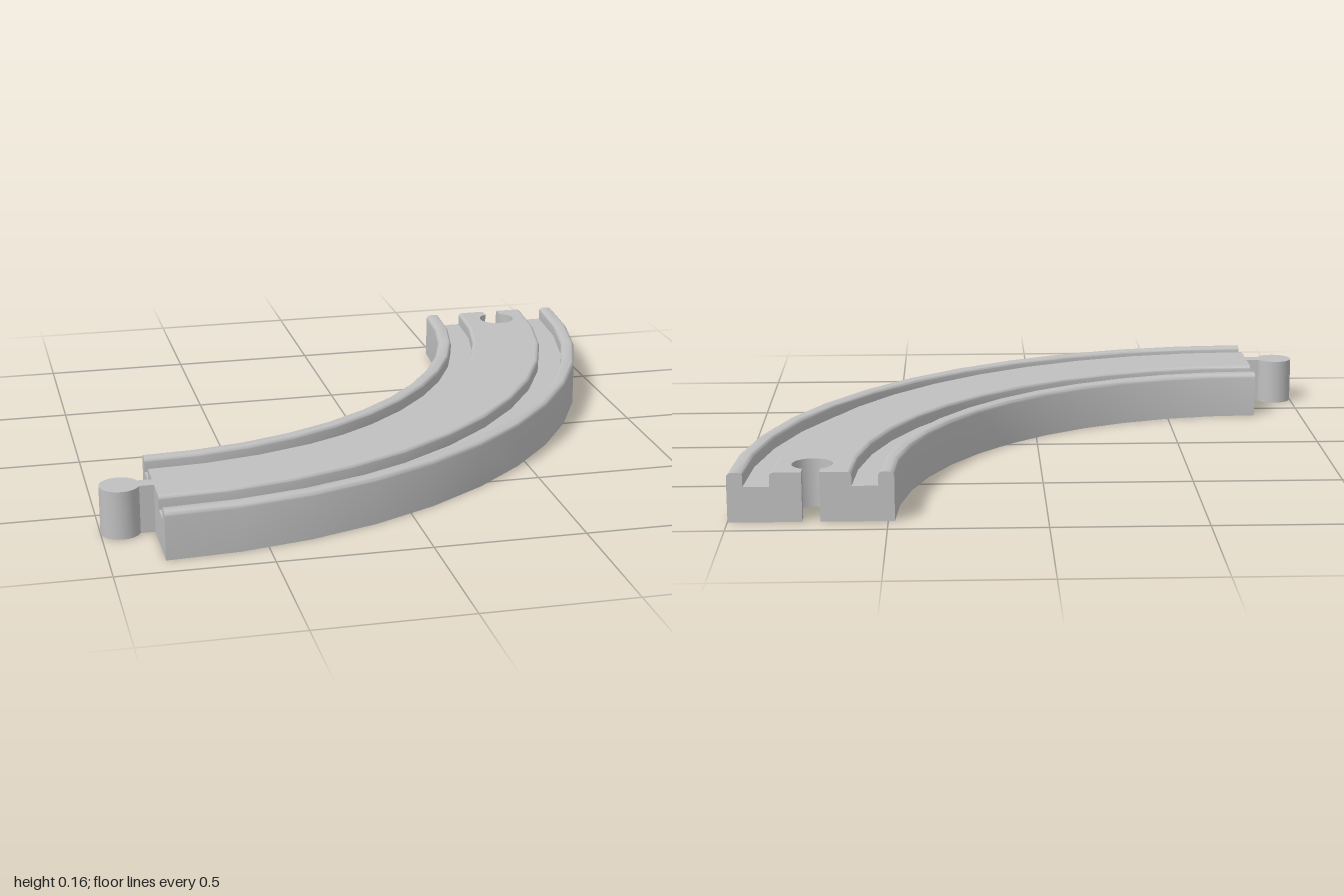
import * as THREE from 'three';
import { toCreasedNormals } from 'three/addons/utils/BufferGeometryUtils.js';

const R = 1.567;        // centreline radius of the curve
const H = 0.16;         // track height
const GROOVE = 0.045;   // groove depth
const STEPS = 12;       // facets along the quarter turn
const CORE = 0.115;     // half width of the flat middle strip

const crease = (geo) => toCreasedNormals(geo, 0.6);

// Points on a circular arc
function arc(cx, cy, r, a0, a1, n) {
  return Array.from({ length: n + 1 }, (_, i) => {
    const a = a0 + ((a1 - a0) * i) / n;
    return [cx + r * Math.cos(a), cy + r * Math.sin(a)];
  });
}

// Neck and round head, shared by the peg and its socket
function keyhole(halfNeck, r, reach) {
  const a = Math.PI - Math.asin(halfNeck / r);
  return [[0, halfNeck], ...arc(reach, 0, r, a, -a, 28), [0, -halfNeck]];
}

// Extrude a plan outline given as [x, z] up to the track height
function slab(points) {
  const shape = new THREE.Shape(points.map(([x, z]) => new THREE.Vector2(x, -z)));
  const geo = new THREE.ExtrudeGeometry(shape, { depth: H, bevelEnabled: false });
  return crease(geo.rotateX(-Math.PI / 2));
}

// Rail, wheel groove and rounded edge of the middle strip, as offsets from the centreline
function sideProfile() {
  const q = Math.PI / 2;
  return [
    [CORE, 0], [0.26, 0],
    ...arc(0.244, H - 0.016, 0.016, 0, q, 4),
    ...arc(0.222, H - 0.012, 0.012, q, 2 * q, 4),
    [0.21, H - GROOVE], [0.127, H - GROOVE],
    ...arc(CORE, H - 0.012, 0.012, 0, q, 4),
  ];
}

export function createModel() {
  const model = new THREE.Group();
  model.name = 'curvedTrack';
  const grey = new THREE.MeshStandardMaterial({ color: 0xc0c0c0 });
  grey.name = 'lightGrey';

  const track = new THREE.Group();
  track.name = 'track';
  track.position.set(-0.828, 0, -0.913);
  model.add(track);
  const add = (name, geo) => {
    const mesh = new THREE.Mesh(geo, grey);
    mesh.name = name;
    track.add(mesh);
    return mesh;
  };

  // Swept sides with end faces
  for (const [side, sign] of [['outer', 1], ['inner', -1]]) {
    const points = sideProfile().map(([o, y]) => new THREE.Vector2(R + sign * o, y));
    if (sign < 0) points.reverse();
    add(side + 'Rail', crease(new THREE.LatheGeometry(points, STEPS, 0, Math.PI / 2)));

    const shape = new THREE.Shape(points);
    add(side + 'PegEndFace', new THREE.ShapeGeometry(shape)).rotation.y = -Math.PI / 2;
    const back = new THREE.ShapeGeometry(shape);
    back.index.array.reverse();
    back.computeVertexNormals();
    add(side + 'SocketEndFace', back);
  }

  // Middle strip with the socket cut through one end
  const curve = (r, a0, a1) => arc(0, 0, r, a0, a1, STEPS);
  const socket = keyhole(0.028, 0.065, 0.1).map(([u, v]) => [R + v, u]);
  add('middleStrip', slab([
    ...curve(R + CORE, Math.PI / 2, 0),
    ...socket,
    ...curve(R - CORE, 0, Math.PI / 2),
  ]));

  // Connecting peg on the other end
  add('connectorPeg', slab(keyhole(0.025, 0.065, 0.107).map(([u, v]) => [-u, R + v])));

  return model;
}
